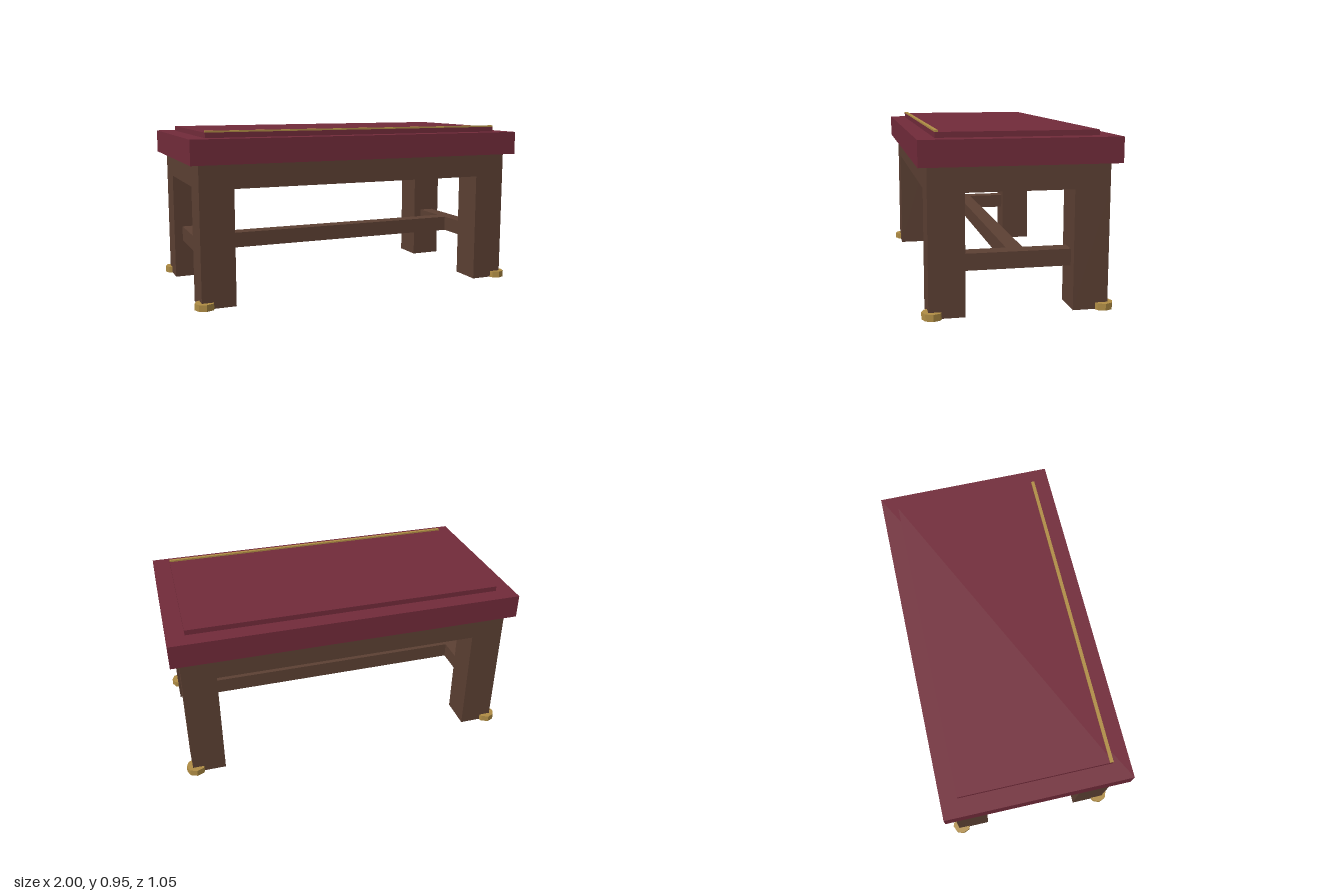
import * as THREE from 'three';

export function createModel() {
  const model = new THREE.Group();
  model.name = 'table';

  const material = (color) => new THREE.MeshStandardMaterial({ color, flatShading: true });
  const wood = material(0x5c4033);
  const cloth = material(0x722b3a);
  const brass = material(0xb08d45);

  const add = (name, geometry, mat, x, y, z) => {
    const mesh = new THREE.Mesh(geometry, mat);
    mesh.name = name;
    mesh.position.set(x, y, z);
    model.add(mesh);
  };
  // Box resting between heights y0 and y1, centred on (x, z)
  const box = (name, mat, width, depth, y0, y1, x = 0, z = 0) =>
    add(name, new THREE.BoxGeometry(width, y1 - y0, depth), mat, x, (y0 + y1) / 2, z);

  // Top slab, raised panel and brass trim along its front edge
  box('tabletop', cloth, 2, 1.046, 0.78, 0.915);
  box('raisedPanel', cloth, 1.8, 0.856, 0.915, 0.944);
  box('frontTrim', brass, 1.8, 0.019, 0.944, 0.953, 0, 0.4185);

  // Solid apron block, flush with the outer faces of the legs
  box('apron', wood, 1.9, 0.95, 0.645, 0.78);

  // Four legs, each with an octagonal brass foot near its outer corner
  const footGeometry = new THREE.CylinderGeometry(0.055, 0.055, 0.037, 8);
  for (const sx of [-1, 1]) {
    for (const sz of [-1, 1]) {
      box('leg', wood, 0.19, 0.19, 0.002, 0.645, sx * 0.855, sz * 0.38);
      add('foot', footGeometry, brass, sx * 0.93, 0.0185, sz * 0.454);
    }
    // Side stretcher between front and back legs
    box('sideStretcher', wood, 0.09, 0.57, 0.232, 0.322, sx * 0.855);
  }

  // Long centre stretcher joining the two side stretchers
  box('centreStretcher', wood, 1.62, 0.09, 0.232, 0.322);

  return model;
}
